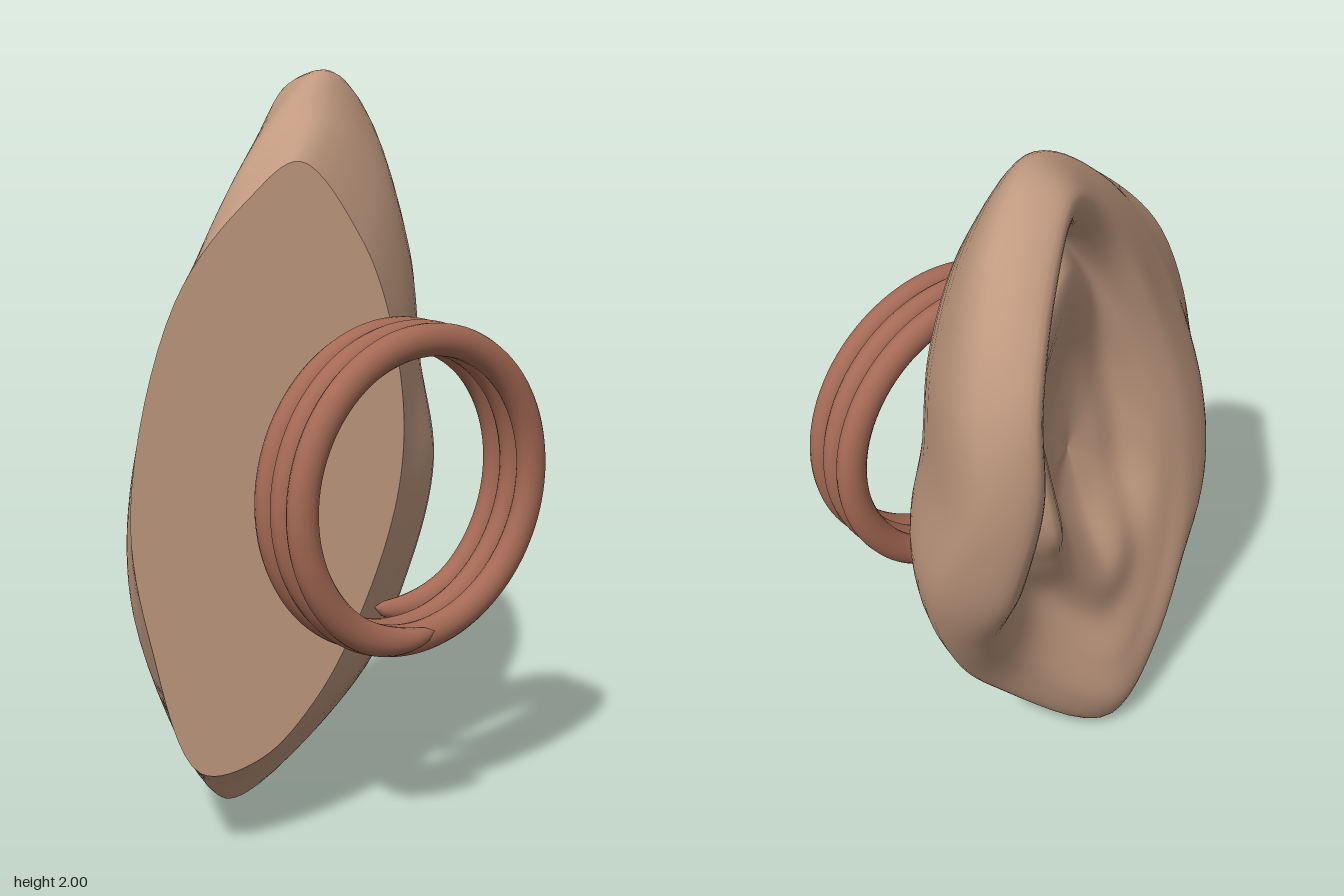
import * as THREE from 'three';

// One row per station round the ear, from the top over the back, lobe and front:
// cut edge z,y | outer edge x,y,z | rim crest x,y,z | groove x | inner ridge x
const STATIONS = [
  [0.10, 1.78, -0.13, 1.995, -0.19, -0.25, 1.94, -0.16, -0.10, -0.16],
  [-0.06, 1.58, -0.27, 1.90, -0.42, -0.39, 1.83, -0.34, -0.18, -0.22],
  [-0.13, 1.38, -0.38, 1.62, -0.57, -0.49, 1.62, -0.46, -0.24, -0.25],
  [-0.16, 1.12, -0.40, 1.30, -0.60, -0.51, 1.35, -0.48, -0.25, -0.27],
  [-0.13, 0.90, -0.24, 0.95, -0.60, -0.42, 1.00, -0.50, -0.23, -0.28],
  [-0.02, 0.63, -0.14, 0.63, -0.49, -0.25, 0.70, -0.43, -0.16, -0.22],
  [0.13, 0.40, -0.06, 0.33, -0.30, -0.14, 0.42, -0.24, -0.10, -0.17],
  [0.30, 0.26, -0.09, 0.00, 0.10, -0.18, 0.13, 0.08, -0.12, -0.13],
  [0.47, 0.25, 0.00, 0.10, 0.29, -0.12, 0.22, 0.27, -0.10, -0.10],
  [0.58, 0.60, -0.05, 0.60, 0.48, -0.085, 0.60, 0.41, -0.07, -0.02],
  [0.61, 0.95, -0.05, 1.00, 0.47, -0.09, 1.00, 0.38, -0.06, 0.00],
  [0.46, 1.45, 0.00, 1.49, 0.32, -0.10, 1.45, 0.22, -0.05, 0.00],
  [0.25, 1.69, -0.03, 1.80, 0.11, -0.14, 1.76, 0.04, -0.05, -0.06],
];
const AROUND = 104, ACROSS = 56;
const V = (x, y, z) => new THREE.Vector3(x, y, z);
const HOLLOW = V(0.01, 0.98, 0.03);

// The sliced side of the ear lies on this plane
const cutPoint = (z, y) => V(0.26 - 0.184 * z - 0.09 * (y - 1), y, z);

// A point part of the way from the rim to the hollow, at its own depth
const inward = (rim, t, x) => rim.clone().lerp(HOLLOW, t).setX(x);

function geometryFrom(points, index) {
  const g = new THREE.BufferGeometry().setFromPoints(points);
  g.setIndex(index);
  g.computeVertexNormals();
  return g;
}

function earGeometries() {
  const columns = STATIONS.map(([az, ay, bx, by, bz, cx, cy, cz, groove, ridge]) => {
    const cut = cutPoint(az, ay), outer = V(bx, by, bz), rim = V(cx, cy, cz);
    // The back of the ear swells between the cut and the outer edge
    const swell = Math.max(0, -bz);
    const back = cut.clone().lerp(outer, 0.5).add(V(0.11 * swell, 0, -0.11 * swell));
    // The inner ridge runs close to the rim at the top, further in lower down
    const t = Math.min(0.55, 0.74 - 0.23 * cy);
    return [
      cut, back, outer, rim,
      inward(rim, t * 0.34, THREE.MathUtils.lerp(cx, groove, 0.25)),
      inward(rim, t * 0.64, groove), inward(rim, t, ridge),
      inward(rim, (1 + t) / 2, ridge * 0.3), HOLLOW,
    ];
  });
  // Closed curves round the ear, one per ring, all but the hollow
  const rings = columns[0].slice(0, -1).map((_, k) =>
    new THREE.CatmullRomCurve3(columns.map((c) => c[k]), true));

  // Skin: a smooth curve across the rings at every angle
  const points = [], index = [], edge = [];
  for (let i = 0; i < AROUND; i++) {
    const across = rings.map((r) => r.getPoint(i / AROUND));
    edge.push(across[0]);
    const curve = new THREE.CatmullRomCurve3([...across, HOLLOW]);
    for (let j = 0; j <= ACROSS; j++) points.push(curve.getPoint(j / ACROSS));
  }
  const row = ACROSS + 1;
  for (let i = 0; i < AROUND; i++) {
    const n = (i + 1) % AROUND;
    for (let j = 0; j < ACROSS; j++) {
      const a = i * row + j, b = n * row + j;
      index.push(a, b, b + 1, a, b + 1, a + 1);
    }
  }

  // Flat cut: a fan over the first ring
  const fan = [cutPoint(0.22, 1), ...edge], fanIndex = [];
  for (let i = 0; i < AROUND; i++) fanIndex.push(0, 1 + ((i + 1) % AROUND), 1 + i);
  return [geometryFrom(points, index), geometryFrom(fan, fanIndex)];
}

// Spiral ring whose ends bend inward and taper to a point
function coilGeometry() {
  const TURNS = 3, STEPS = 300, SIDES = 16;
  const path = [];
  for (let i = 0; i <= 150; i++) {
    const t = i / 150, angle = t * TURNS * Math.PI * 2;
    const end = Math.max(0, 1 - Math.min(t, 1 - t) / 0.04);
    const r = 0.398 - 0.045 * end * end;
    const x = 0.275 + 0.197 * t + Math.sign(t - 0.5) * 0.025 * end * end;
    path.push(V(x, 0.943 - r * Math.cos(angle), -0.09 - r * Math.sin(angle)));
  }
  const curve = new THREE.CatmullRomCurve3(path);
  const g = new THREE.TubeGeometry(curve, STEPS, 0.043, SIDES);
  const pos = g.attributes.position, p = V(0, 0, 0);
  // Each section is narrower along the axis and shrinks towards the ends
  for (let i = 0; i <= STEPS; i++) {
    const d = Math.min(1, Math.min(i, STEPS - i) / (STEPS * 0.03));
    const taper = Math.sqrt(1 - (1 - d) ** 2);
    const centre = curve.getPointAt(i / STEPS);
    for (let j = 0; j <= SIDES; j++) {
      const k = i * (SIDES + 1) + j;
      p.fromBufferAttribute(pos, k).sub(centre).multiply(V(0.82 * taper, taper, taper)).add(centre);
      pos.setXYZ(k, p.x, p.y, p.z);
    }
  }
  g.computeVertexNormals();
  // Share normals across the seam of each section
  const normal = g.attributes.normal, n = V(0, 0, 0), m = V(0, 0, 0);
  for (let i = 0; i <= STEPS; i++) {
    const a = i * (SIDES + 1), b = a + SIDES;
    n.fromBufferAttribute(normal, a).add(m.fromBufferAttribute(normal, b)).normalize();
    for (const k of [a, b]) normal.setXYZ(k, n.x, n.y, n.z);
  }
  return g;
}

export function createModel() {
  const model = new THREE.Group();
  const skin = new THREE.MeshStandardMaterial({ color: 0xc19a80 });
  const copper = new THREE.MeshStandardMaterial({ color: 0xa56a55 });
  const add = (name, geometry, material, parent) => {
    const mesh = new THREE.Mesh(geometry, material);
    mesh.name = name;
    parent.add(mesh);
  };

  const ear = new THREE.Group();
  ear.name = 'ear';
  const [shell, cut] = earGeometries();
  add('earShell', shell, skin, ear);
  add('earCutFace', cut, skin, ear);
  model.add(ear);

  add('coilRing', coilGeometry(), copper, model);
  return model;
}
